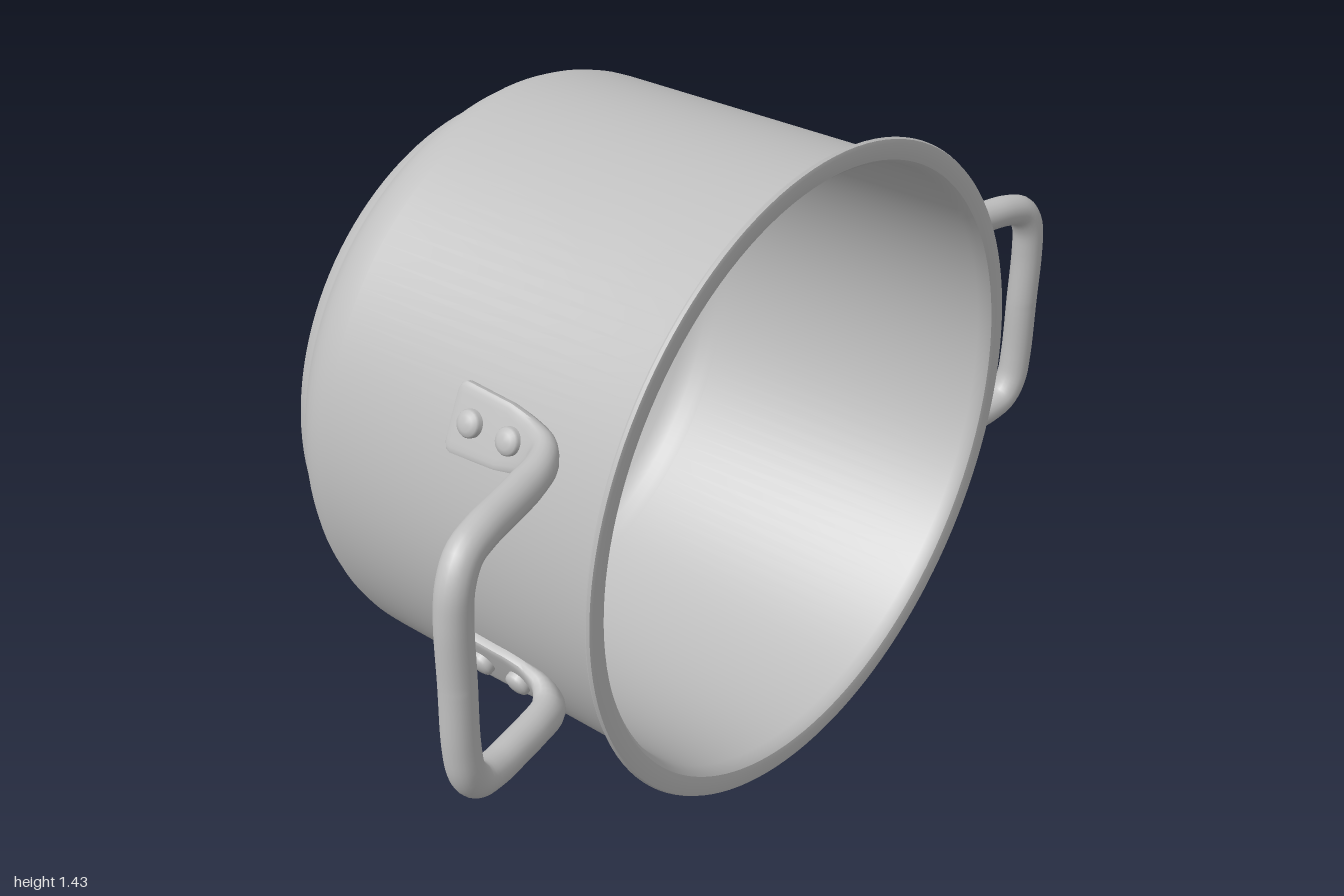
import * as THREE from 'three';
import { toCreasedNormals } from 'three/addons/utils/BufferGeometryUtils.js';

const CY = 0.717; // height of the pot's axis, which runs along z

// Smooth shading with sharp creases; scaled up so small details stay distinct
function creased(geometry, angle) {
  return toCreasedNormals(geometry.scale(50, 50, 50), angle).scale(0.02, 0.02, 0.02);
}

// Mirrored copy of a non-indexed geometry with its winding restored
function mirrored(geometry, sx, sy) {
  const g = geometry.clone().scale(sx, sy, 1);
  if (sx * sy > 0) return g;
  for (const key of ['position', 'normal']) {
    const a = g.attributes[key];
    const p = new THREE.Vector3(), q = new THREE.Vector3();
    for (let i = 0; i < a.count; i += 3) {
      p.fromBufferAttribute(a, i + 1);
      q.fromBufferAttribute(a, i + 2);
      a.setXYZ(i + 1, q.x, q.y, q.z);
      a.setXYZ(i + 2, p.x, p.y, p.z);
    }
  }
  return g;
}

// Thin-walled vessel: outside from base to rim, then inside back to the floor
function potGeometry() {
  const profile = [
    [0, -0.47], [0.568, -0.47], [0.579, -0.468], [0.586, -0.461], [0.612, -0.418],
    [0.615, -0.412], [0.628, -0.398], [0.644, -0.379], [0.657, -0.358],
    [0.666, -0.335], [0.671, -0.31], [0.672, -0.285], [0.672, 0.438],
    [0.675, 0.449], [0.683, 0.456], [0.706, 0.458], [0.714, 0.459], [0.717, 0.464],
    [0.714, 0.47], [0.706, 0.472], [0.684, 0.471], [0.672, 0.468], [0.664, 0.458],
    [0.66, 0.44], [0.659, -0.285], [0.658, -0.31], [0.653, -0.333], [0.645, -0.353],
    [0.633, -0.371], [0.618, -0.389], [0.602, -0.408], [0.579, -0.45],
    [0.57, -0.457], [0, -0.458],
  ].map(([r, z]) => new THREE.Vector2(r, z));
  return creased(new THREE.LatheGeometry(profile, 128).rotateX(Math.PI / 2), 0.65);
}

// Upper half of a side handle: flat riveted plate that swells into a round bar
function halfHandleGeometry() {
  const path = new THREE.CatmullRomCurve3([
    [0.624, 0.275, 0.055], [0.624, 0.275, 0.15], [0.624, 0.275, 0.24],
    [0.633, 0.277, 0.283], [0.665, 0.28, 0.314], [0.73, 0.276, 0.334],
    [0.8, 0.272, 0.349], [0.87, 0.267, 0.363], [0.924, 0.25, 0.373],
    [0.953, 0.207, 0.379], [0.963, 0.14, 0.38], [0.963, 0, 0.38],
  ].map((p) => new THREE.Vector3(...p)), false, 'centripetal');
  // [distance, half width, half thickness, squareness]
  const sizes = [
    [0, 0.058, 0.009, 1], [0.006, 0.068, 0.012, 1], [0.016, 0.073, 0.012, 1],
    [0.13, 0.067, 0.012, 1], [0.18, 0.058, 0.015, 0.7], [0.22, 0.049, 0.023, 0.4],
    [0.27, 0.039, 0.032, 0], [0.34, 0.036, 0.036, 0], [9, 0.036, 0.036, 0],
  ];
  const sizeAt = (d) => {
    let i = 1;
    while (sizes[i][0] < d) i++;
    const t = (d - sizes[i - 1][0]) / (sizes[i][0] - sizes[i - 1][0]);
    return sizes[i].map((v, k) => sizes[i - 1][k] + (v - sizes[i - 1][k]) * t);
  };

  const length = path.getLength(), sides = 20;
  const stations = [0, 0.006, 0.016];
  for (let i = 1; i <= 56; i++) stations.push(0.016 + (length - 0.016) * i / 56);
  const normal = new THREE.Vector3(0.915, 0.404, 0);
  const positions = [], index = [];
  stations.forEach((d, s) => {
    const u = Math.min(d / length, 1);
    const p = path.getPointAt(u);
    const tangent = path.getTangentAt(u);
    if (s === stations.length - 1) tangent.set(0, -1, 0);
    normal.addScaledVector(tangent, -normal.dot(tangent)).normalize();
    const side = new THREE.Vector3().crossVectors(tangent, normal);
    const [, w, h, square] = sizeAt(d);
    const power = 1 - 0.65 * square;
    for (let k = 0; k < sides; k++) {
      const a = (k / sides) * Math.PI * 2;
      const round = (v) => Math.sign(v) * Math.pow(Math.abs(v), power);
      const q = p.clone().addScaledVector(normal, round(Math.cos(a)) * h)
        .addScaledVector(side, round(Math.sin(a)) * w);
      positions.push(q.x, q.y, q.z);
      if (s > 0) {
        const k2 = (k + 1) % sides, b = s * sides, c = b - sides;
        index.push(c + k, c + k2, b + k2, c + k, b + k2, b + k);
      }
    }
  });
  // Close the plate end
  for (let k = 1; k < sides - 1; k++) index.push(0, k + 1, k);
  const g = new THREE.BufferGeometry();
  g.setAttribute('position', new THREE.Float32BufferAttribute(positions, 3));
  g.setIndex(index);
  return creased(g, 0.75);
}

// Domed rivet head, pointing away from the pot's axis
function rivetGeometry(z) {
  const profile = [[0.028, -0.02], [0.028, 0.012], [0.025, 0.017], [0.016, 0.021], [0, 0.023]]
    .map(([r, y]) => new THREE.Vector2(r, y));
  const angle = Math.atan2(0.275, 0.624);
  const g = creased(new THREE.LatheGeometry(profile, 24), 0.7);
  return g.rotateZ(angle - Math.PI / 2)
    .translate(Math.cos(angle) * 0.692, Math.sin(angle) * 0.692, z);
}

export function createModel() {
  const steel = new THREE.MeshStandardMaterial({ color: 0xbfbfbf });
  steel.name = 'steel';
  const model = new THREE.Group();
  model.name = 'cookingPot';
  const add = (parent, name, geometry) => {
    const mesh = new THREE.Mesh(geometry, steel);
    mesh.name = name;
    parent.add(mesh);
  };

  const body = new THREE.Group();
  body.name = 'potAssembly';
  body.position.y = CY;
  model.add(body);
  add(body, 'potBody', potGeometry());

  // Two handles, each made of mirrored halves with two rivets per plate
  const half = halfHandleGeometry();
  const rivets = [0.11, 0.21].map(rivetGeometry);
  for (const sx of [1, -1]) {
    const handle = new THREE.Group();
    handle.name = sx > 0 ? 'leftHandle' : 'rightHandle';
    body.add(handle);
    for (const sy of [1, -1]) {
      const level = sy > 0 ? 'upper' : 'lower';
      add(handle, level + 'HandleHalf', mirrored(half, sx, sy));
      rivets.forEach((r) => add(handle, level + 'Rivet', mirrored(r, sx, sy)));
    }
  }
  return model;
}
